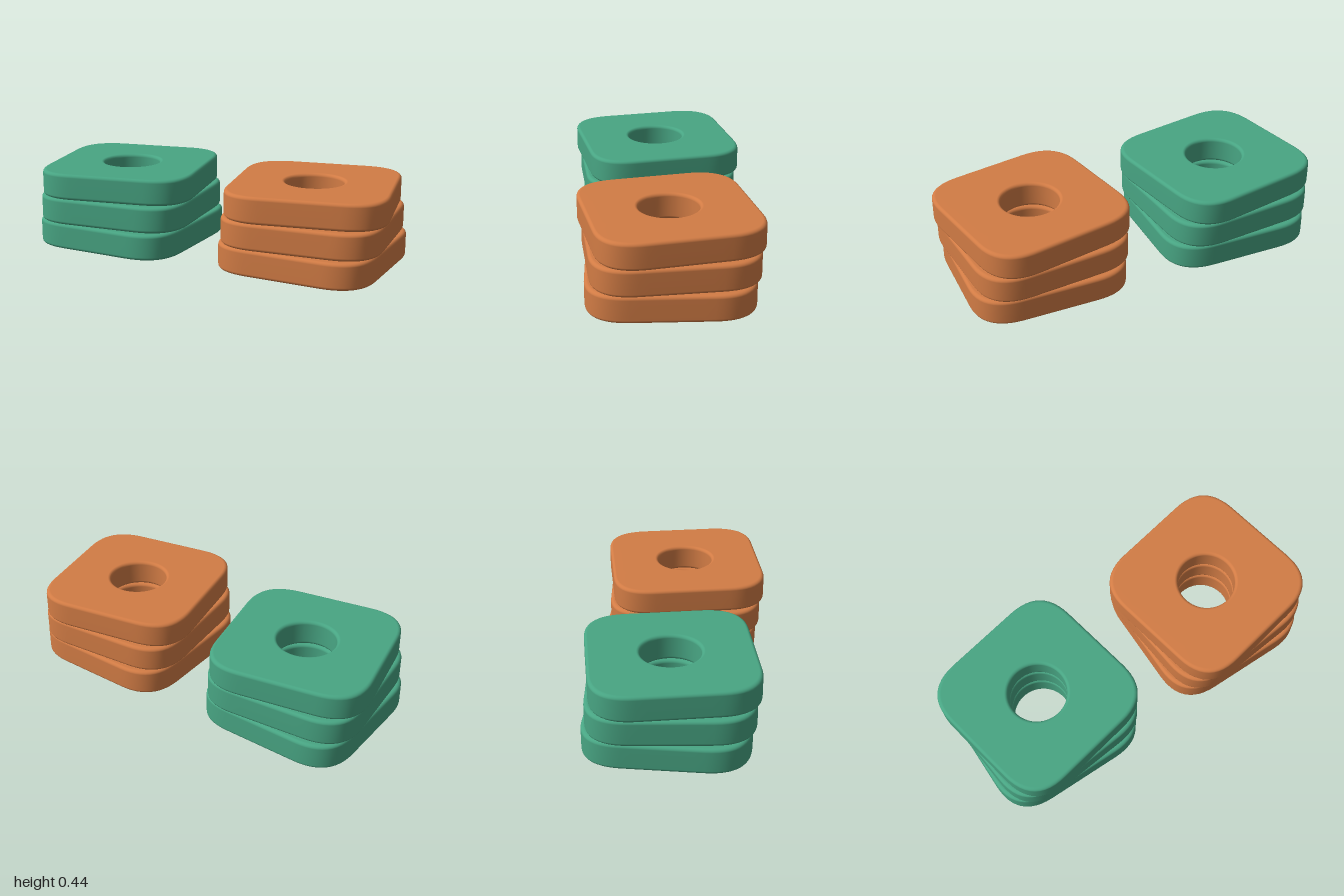
import * as THREE from 'three';

const HALF = 0.425;      // half width of a plate
const CORNER = 0.22;     // length of the soft corner along each side
const HOLE = 0.155;
const THICK = 0.142;
const PITCH = 0.1465;    // height from one plate to the next
const BEVEL = 0.018;

// Outline of a soft-cornered square, counter-clockwise
function outline() {
  const pts = [];
  const flat = HALF - CORNER;
  for (let q = 0; q < 4; q++) {
    const side = [];
    for (let i = 0; i < 8; i++) side.push(new THREE.Vector2(HALF, -flat + (2 * flat * i) / 8));
    const corner = new THREE.QuadraticBezierCurve(
      new THREE.Vector2(HALF, flat), new THREE.Vector2(HALF, HALF), new THREE.Vector2(flat, HALF));
    side.push(...corner.getPoints(12).slice(0, 12));
    side.forEach(p => pts.push(p.rotateAround(new THREE.Vector2(), (q * Math.PI) / 2)));
  }
  return pts;
}

// Rounded section from the outer wall over the top to the hole wall: inset from the wall, and height
function section() {
  const steps = 5, outer = [], inner = [];
  const arc = (i) => {
    const a = (i / steps) * Math.PI / 2;
    return [BEVEL * (1 - Math.sin(a)), BEVEL * (1 - Math.cos(a))];
  };
  for (let i = 0; i <= steps; i++) {
    const [inset, y] = arc(i);
    outer.push({ inset, y });
  }
  for (let i = steps; i >= 0; i--) {
    const [inset, y] = arc(i);
    outer.push({ inset, y: THICK - y });
  }
  for (const s of [...outer].reverse()) inner.push({ ...s, hole: true });
  return [...outer, ...inner];
}

// Closed loft around the ring-shaped plate with shared, smooth normals
function plateGeometry() {
  const ring = outline(), sec = section();
  const n = ring.length, m = sec.length;
  const pos = [], idx = [];
  for (const s of sec) {
    for (const p of ring) {
      const k = s.hole ? (HOLE + s.inset) / p.length() : (HALF - s.inset) / HALF;
      pos.push(p.x * k, s.y, -p.y * k);
    }
  }
  for (let j = 0; j < m; j++) {
    for (let i = 0; i < n; i++) {
      const i2 = (i + 1) % n, j2 = (j + 1) % m;
      const a = j * n + i, b = j * n + i2, c = j2 * n + i2, d = j2 * n + i;
      idx.push(a, b, c, a, c, d);
    }
  }
  const geo = new THREE.BufferGeometry();
  geo.setAttribute('position', new THREE.Float32BufferAttribute(pos, 3));
  geo.setIndex(idx);
  geo.computeVertexNormals();
  return geo;
}

export function createModel() {
  const model = new THREE.Group();
  model.name = 'plateStacks';
  const green = new THREE.MeshStandardMaterial({ color: 0x48a583 });
  green.name = 'green';
  const orange = new THREE.MeshStandardMaterial({ color: 0xd27c45 });
  orange.name = 'orange';
  const geo = plateGeometry();
  const turns = [-0.15, -0.05, 0.05]; // each plate is twisted a little further

  const addStack = (name, material, x, z) => {
    const stack = new THREE.Group();
    stack.name = name;
    stack.position.set(x, 0, z);
    turns.forEach((turn, i) => {
      const plate = new THREE.Mesh(geo, material);
      plate.name = ['bottomPlate', 'middlePlate', 'topPlate'][i];
      plate.position.y = i * PITCH;
      plate.rotation.y = turn;
      stack.add(plate);
    });
    model.add(stack);
  };
  addStack('greenStack', green, -0.545, -0.067);
  addStack('orangeStack', orange, 0.545, 0.067);
  return model;
}
